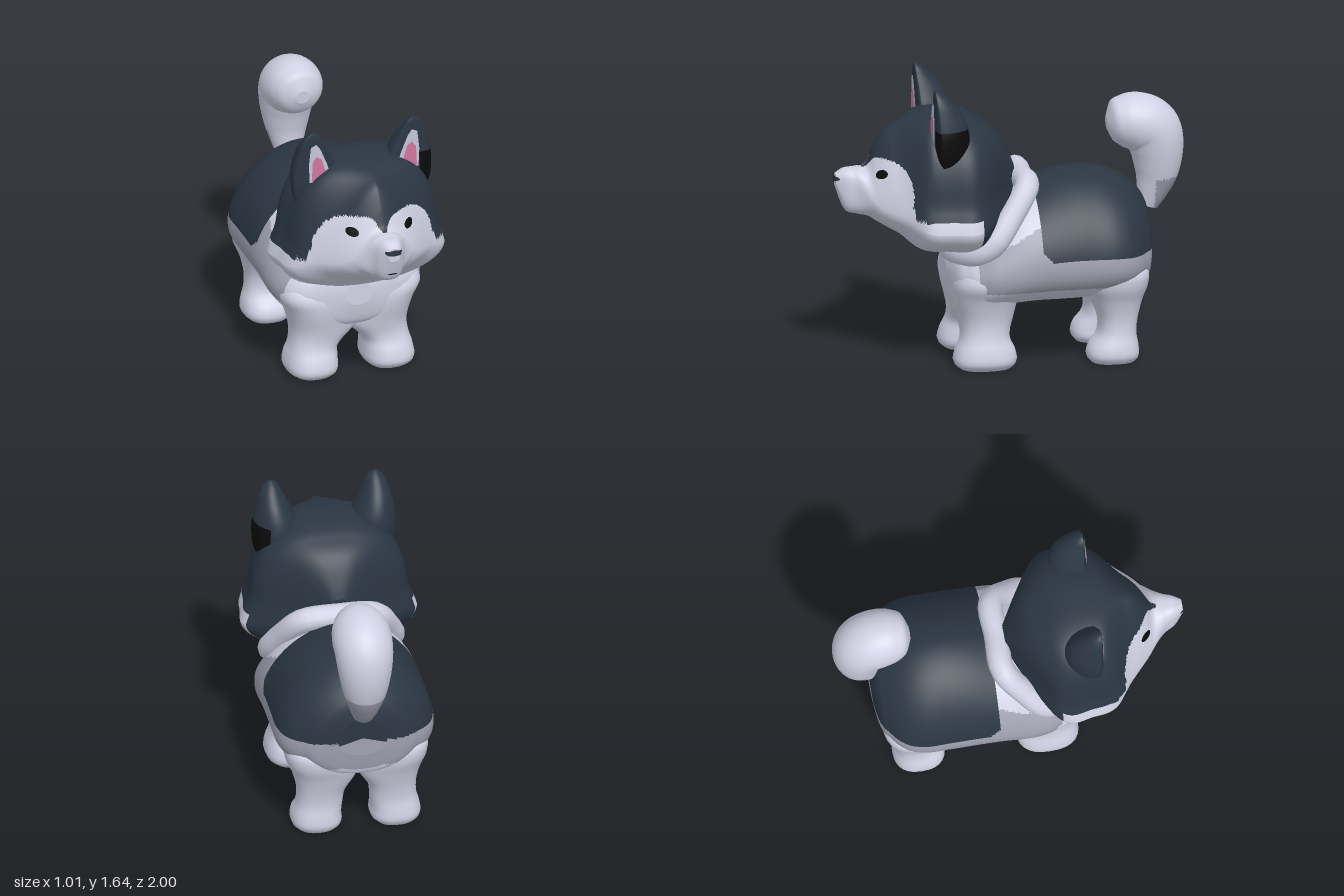
import * as THREE from 'three';

const mat = (name, color, side = THREE.FrontSide) => {
  const m = new THREE.MeshStandardMaterial({ color, side });
  m.name = name;
  return m;
};

// Smoothly interpolates a table whose rows start with the station position
function stations(rows) {
  const size = rows[0].length - 1;
  const interp = new THREE.CubicInterpolant(rows.map(r => r[0]), rows.flatMap(r => r.slice(1)), size, new Float32Array(size));
  const a = rows[0][0], b = rows[rows.length - 1][0];
  return { a, b, at: t => Array.from(interp.evaluate(Math.min(b, Math.max(a, t)))) };
}

// Closed skin over point(u, angle); paint(centre) picks a material index per face
function skin(name, U, V, point, materials, paint = () => 0) {
  const rings = [];
  for (let i = 0; i <= U; i++) {
    const ring = [];
    for (let j = 0; j < V; j++) ring.push(point(i / U, (j / V) * Math.PI * 2));
    rings.push(ring);
  }
  const cap = ring => {
    const c = new THREE.Vector3();
    ring.forEach(p => c.addScaledVector(p, 1 / V));
    return ring.map(() => c);
  };
  const first = rings[0], last = rings[U];
  const rows = [cap(first), first, ...rings, last, cap(last)];
  const pts = rows.flat();
  const faces = [];
  let volume = 0;
  const c = new THREE.Vector3(), n = new THREE.Vector3();
  const add = (i, j, k) => {
    volume += pts[i].dot(n.crossVectors(pts[j], pts[k]));
    faces.push([i, j, k]);
  };
  for (let r = 0; r < rows.length - 1; r++) {
    if (r === 1 || r === rows.length - 3) continue; // hard edge at the caps
    for (let j = 0; j < V; j++) {
      const a = r * V + j, b = r * V + (j + 1) % V;
      if (r < rows.length - 2) add(a, b + V, a + V);
      if (r > 0) add(a, b, b + V);
    }
  }
  const buckets = materials.map(() => []);
  for (const [i, j, k] of faces) {
    c.copy(pts[i]).add(pts[j]).add(pts[k]).divideScalar(3);
    buckets[paint(c)].push(...(volume > 0 ? [i, j, k] : [i, k, j]));
  }
  const g = new THREE.BufferGeometry().setFromPoints(pts);
  g.setIndex(buckets.flat());
  let start = 0;
  buckets.forEach((b, i) => { g.addGroup(start, b.length, i); start += b.length; });
  g.computeVertexNormals();
  const mesh = new THREE.Mesh(g, materials);
  mesh.name = name;
  return mesh;
}

const soft = (v, p) => Math.sign(v) * Math.abs(v) ** p;
const { smoothstep } = THREE.MathUtils;

// Head and body sections along z: [z, top, bottom, half width, height of widest point]
const HEAD = stations([
  [-0.02, 1.12, 1.0, 0.06, 1.05], [0, 1.17, 0.93, 0.1, 1.0], [0.08, 1.31, 0.8, 0.25, 0.93],
  [0.2, 1.4, 0.68, 0.45, 0.87], [0.27, 1.43, 0.655, 0.5, 0.85], [0.4, 1.447, 0.66, 0.49, 0.85],
  [0.55, 1.43, 0.68, 0.455, 0.86], [0.65, 1.395, 0.76, 0.345, 0.91], [0.72, 1.35, 0.8, 0.275, 0.93],
  [0.78, 1.25, 0.835, 0.215, 0.95], [0.82, 1.16, 0.86, 0.17, 0.98], [0.88, 1.14, 0.875, 0.105, 1.0],
  [0.95, 1.135, 0.905, 0.068, 1.03], [0.998, 1.11, 1.03, 0.035, 1.07]]);

const BODY = stations([
  [-0.785, 0.8, 0.56, 0.14, 0.66], [-0.77, 0.87, 0.46, 0.24, 0.63], [-0.72, 0.95, 0.42, 0.335, 0.61],
  [-0.65, 1.01, 0.39, 0.41, 0.6], [-0.55, 1.06, 0.37, 0.45, 0.6], [-0.4, 1.085, 0.35, 0.455, 0.6],
  [-0.25, 1.07, 0.345, 0.455, 0.6], [-0.1, 1.03, 0.345, 0.455, 0.59], [0, 1.0, 0.34, 0.455, 0.57],
  [0.1, 0.91, 0.33, 0.45, 0.55], [0.2, 0.82, 0.31, 0.425, 0.54], [0.3, 0.73, 0.31, 0.355, 0.53],
  [0.355, 0.67, 0.36, 0.24, 0.53], [0.38, 0.6, 0.46, 0.08, 0.54]]);

// Legs: [height, inner x, outer x, back z, front z]
const FRONT_LEG = stations([
  [0, 0.11, 0.34, 0.04, 0.33], [0.025, 0.085, 0.37, 0.015, 0.36], [0.1, 0.08, 0.37, 0.015, 0.355],
  [0.17, 0.075, 0.35, 0.045, 0.325], [0.22, 0.03, 0.342, 0.04, 0.32], [0.28, -0.03, 0.342, 0.02, 0.33],
  [0.42, -0.03, 0.38, -0.01, 0.36], [0.5, -0.01, 0.42, -0.02, 0.36], [0.57, 0.04, 0.4, 0.02, 0.32], [0.64, 0.1, 0.33, 0.08, 0.24]]);
const HIND_LEG = stations([
  [0, 0.11, 0.34, -0.67, -0.42], [0.025, 0.085, 0.365, -0.69, -0.4], [0.09, 0.085, 0.365, -0.69, -0.41],
  [0.16, 0.08, 0.345, -0.68, -0.46], [0.25, 0.065, 0.34, -0.69, -0.465], [0.36, 0, 0.365, -0.72, -0.42],
  [0.46, 0, 0.405, -0.75, -0.37], [0.54, 0.05, 0.4, -0.74, -0.38], [0.6, 0.1, 0.33, -0.68, -0.44]]);

// Ears: [height, inner x, outer x, back z, front z]
const EAR = stations([
  [1.2, 0.24, 0.39, 0.36, 0.46], [1.25, 0.2, 0.405, 0.31, 0.48], [1.32, 0.165, 0.412, 0.285, 0.49],
  [1.4, 0.155, 0.41, 0.285, 0.49], [1.5, 0.198, 0.388, 0.325, 0.49], [1.58, 0.238, 0.362, 0.39, 0.49],
  [1.63, 0.268, 0.328, 0.445, 0.488], [1.643, 0.288, 0.31, 0.468, 0.485]]);

// Tail: [station, z, y, radius]
const TAIL = stations([
  [0, -0.79, 0.83, 0.06], [1, -0.82, 0.92, 0.092], [2, -0.845, 1.03, 0.125], [3, -0.845, 1.16, 0.152],
  [4, -0.815, 1.27, 0.165], [5, -0.735, 1.317, 0.167], [6, -0.64, 1.325, 0.146], [6.6, -0.585, 1.32, 0.105], [6.9, -0.558, 1.318, 0.04]]);

// Roundness of a head section: full skull, sloping face, boxy muzzle
const skullAt = z => 1 - smoothstep(z, 0.5, 0.7);
const boxAt = z => smoothstep(z, 0.8, 0.89);
const upperPower = z => 0.71 * skullAt(z) + 1.35 * (1 - skullAt(z)) - 0.65 * boxAt(z);
const lowerPower = z => 1 - 0.3 * boxAt(z);

function headPoint(u, a) {
  const z = HEAD.a + (HEAD.b - HEAD.a) * u, [top, bottom, half, mid] = HEAD.at(z);
  const c = Math.cos(a), s = Math.sin(a);
  const p = s > 0 ? upperPower(z) : lowerPower(z), t = soft(s, p);
  // Skull narrows just above the flared cheek
  const flare = s > 0 ? 1 - 0.1 * skullAt(z) * (1 - Math.exp(-((t / 0.16) ** 2))) : 1;
  return new THREE.Vector3(half * flare * soft(c, p), mid + t * (s > 0 ? top - mid : mid - bottom), z);
}

function bodyPoint(u, a) {
  const z = BODY.a + (BODY.b - BODY.a) * u, [top, bottom, half, mid] = BODY.at(z);
  const c = Math.cos(a), s = Math.sin(a), p = s > 0 ? 1.12 : 0.9;
  return new THREE.Vector3(half * soft(c, p), mid + soft(s, p) * (s > 0 ? top - mid : mid - bottom), z);
}

// Foremost z of the face at a given x, y
function faceZ(x, y) {
  for (let z = HEAD.b; z > 0; z -= 0.001) {
    const [top, bottom, half, mid] = HEAD.at(z), up = y > mid;
    const n = 2 / (up ? upperPower(z) : lowerPower(z));
    if (Math.abs(x / half) ** n + Math.abs((y - mid) / (up ? top - mid : mid - bottom)) ** n < 1) return z;
  }
  return 0;
}

export function createModel() {
  const model = new THREE.Group();
  model.name = 'dog';
  const torso = new THREE.Group();
  torso.name = 'torso';
  torso.position.x = 0.013;
  model.add(torso);
  const white = mat('white fur', 0xd0d2e4), grey = mat('grey fur', 0xa0a2b1), navy = mat('dark fur', 0x2b3643, THREE.DoubleSide);
  const black = mat('black', 0x0b0b0c, THREE.DoubleSide), pink = mat('inner ear pink', 0xd2769f, THREE.DoubleSide);
  const pale = mat('inner ear white', 0xc4c6d8, THREE.DoubleSide);

  // Head with dark cap and white two-lobed face
  model.add(skin('head', 150, 140, headPoint, [white, navy], p => {
    const x = Math.abs(p.x);
    const lobe = 0.98 + 0.235 * Math.sqrt(Math.max(0, 1 - (Math.max(0, x - 0.13) / 0.23) ** 2)) - 0.08 * Math.exp(-((x / 0.04) ** 2));
    const cheek = p.z > 0.24 && p.y < 0.915;
    const face = p.z > 0.61 && p.y < lobe;
    return cheek || face || p.z > 0.85 ? 0 : 1;
  }));

  // Body with dark saddle, grey flank band and white shoulders
  torso.add(skin('body', 150, 144, bodyPoint, [white, grey, navy], p => {
    const corner = p.z > -0.17 ? (p.z + 0.17) * 0.9 : 0;
    if (p.z < -0.11 && p.y > 0.645 + corner) return 2;
    const band = p.z > -0.1 ? 0.64 + (0.25 - p.z) * 0.54 : 0.83;
    return p.y > 0.47 && p.y < band && p.z < 0.25 ? 1 : 0;
  }));

  // Fur ruff around the neck
  const half = [[0.2, 1.03, -0.06], [0.3, 0.88, 0.05], [0.35, 0.74, 0.16], [0.3, 0.67, 0.25]];
  const loop = [[0, 1.04, -0.06], ...half, [0, 0.645, 0.34], ...half.slice().reverse().map(([x, y, z]) => [-x, y, z])];
  const ruffPath = new THREE.CatmullRomCurve3(loop.map(p => new THREE.Vector3(...p)), true);
  const ruff = new THREE.Mesh(new THREE.TubeGeometry(ruffPath, 48, 0.07, 12, true), white);
  ruff.name = 'neckRuff';
  torso.add(ruff);

  // Tail curling up into a round tip
  torso.add(skin('tail', 48, 40, (u, a) => {
    const t = u * TAIL.b, [z, y, r] = TAIL.at(t);
    const p = TAIL.at(t - 0.05), q = TAIL.at(t + 0.05);
    const dz = q[0] - p[0], dy = q[1] - p[1], len = Math.hypot(dz, dy);
    const s = r * Math.sin(a);
    return new THREE.Vector3(r * Math.cos(a), y - s * dz / len, z + s * dy / len);
  }, [white, grey], p => (p.y < 1.0 && p.z < -0.82 ? 1 : 0)));

  // Thin patch lying on the face, in concentric rings
  const patch = (name, cx, cy, rx, ry, material) => {
    const pts = [], n = 24, rings = 4, index = [];
    for (let r = 0; r <= rings; r++) {
      for (let i = 0; i < n; i++) {
        const a = (i / n) * Math.PI * 2;
        const x = cx + rx * (r / rings) * Math.cos(a), y = cy + ry * (r / rings) * Math.sin(a);
        pts.push(new THREE.Vector3(x * 1.02, y, faceZ(x, y) + 0.007));
        const p = r * n + i, q = r * n + (i + 1) % n;
        if (r < rings) index.push(p, p + n, q + n, p, q + n, q);
      }
    }
    const g = new THREE.BufferGeometry().setFromPoints(pts);
    g.setIndex(index);
    g.computeVertexNormals();
    const m = new THREE.Mesh(g, material);
    m.name = name;
    model.add(m);
  };
  patch('nose', 0, 1.085, 0.05, 0.018, navy);
  patch('mouth', 0, 0.94, 0.03, 0.005, black);

  const plate = (name, corners, z, material) => {
    const shape = new THREE.Shape(corners.map(([x, y]) => new THREE.Vector2(x, y)));
    const m = new THREE.Mesh(new THREE.ShapeGeometry(shape), material);
    m.name = name;
    m.position.z = z;
    model.add(m);
  };

  for (const side of [1, -1]) {
    const label = side > 0 ? 'left' : 'right';
    patch(label + 'Eye', side * 0.165, 1.135, 0.031, 0.025, black);

    // Upright legs with rounded-square sections
    for (const [name, table] of [['FrontLeg', FRONT_LEG], ['HindLeg', HIND_LEG]]) {
      torso.add(skin(label + name, 28, 28, (u, a) => {
        const y = table.b * u, [x0, x1, z0, z1] = table.at(y);
        return new THREE.Vector3(side * ((x0 + x1) / 2 + (x1 - x0) / 2 * soft(Math.cos(a), 0.8)), y,
          (z0 + z1) / 2 + (z1 - z0) / 2 * soft(Math.sin(a), 0.8));
      }, [white]));
    }

    // Ear: nearly flat in front, rounded behind
    model.add(skin(label + 'Ear', 40, 48, (u, a) => {
      const y = EAR.a + (EAR.b - EAR.a) * u, [x0, x1, z0, z1] = EAR.at(y), s = Math.sin(a), front = (z1 - z0) * 0.2;
      const z = z1 - front + (s > 0 ? front * Math.sqrt(s) : s * (z1 - z0 - front));
      return new THREE.Vector3(side * ((x0 + x1) / 2 + (x1 - x0) / 2 * Math.cos(a)), y, z);
    }, [navy, black], p => (p.x > 0.33 && p.y < 1.42 ? 1 : 0)));
    const flip = c => c.map(([x, y]) => [side * x, y]);
    plate(label + 'InnerEar', flip([[0.19, 1.34], [0.325, 1.34], [0.33, 1.45], [0.318, 1.56], [0.285, 1.575], [0.26, 1.54], [0.22, 1.44]]), 0.494, pale);
    plate(label + 'InnerEarPink', flip([[0.215, 1.34], [0.315, 1.34], [0.308, 1.47], [0.285, 1.5], [0.255, 1.48]]), 0.498, pink);
  }
  return model;
}
